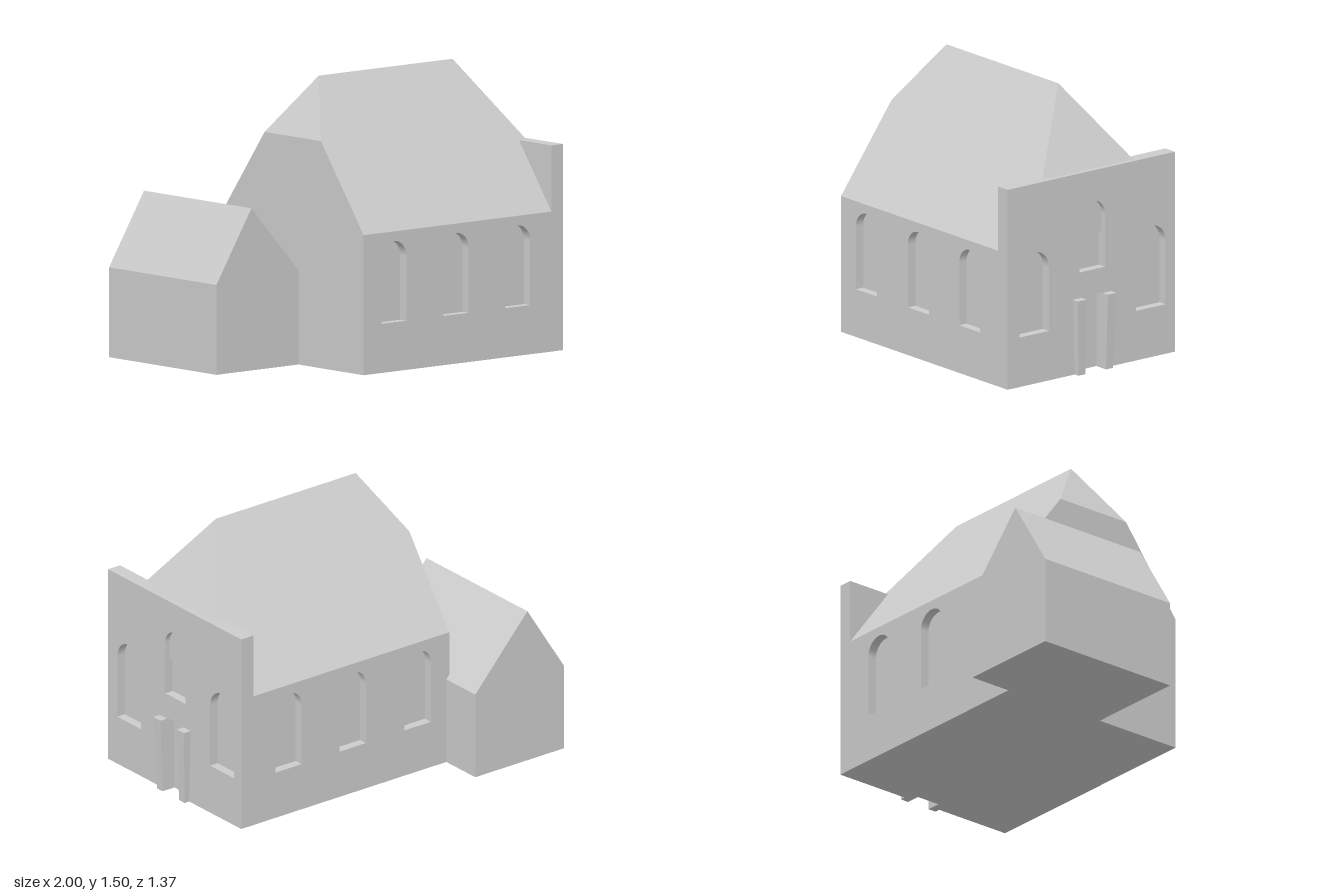
import * as THREE from 'three';
import { ConvexGeometry } from 'three/addons/geometries/ConvexGeometry.js';

const RECESS = 0.05;   // depth of window and door niches
const MID = 0.12;      // z of the nave ridge
const HALF = 0.563;    // half width of the nave
const EAVE = 0.74, RIDGE = 1.505;

export function createModel() {
  const model = new THREE.Group();
  const stone = new THREE.MeshStandardMaterial({ color: 0xcccccc });
  stone.name = 'palestone';

  function add(name, geometry, x = 0, y = 0, z = 0) {
    const mesh = new THREE.Mesh(geometry, stone);
    mesh.name = name;
    mesh.position.set(x, y, z);
    model.add(mesh);
    return mesh;
  }

  // box given by its limits
  function block(name, x0, x1, y0, y1, z0, z1) {
    add(name, new THREE.BoxGeometry(x1 - x0, y1 - y0, z1 - z0),
      (x0 + x1) / 2, (y0 + y1) / 2, (z0 + z1) / 2);
  }

  // round-headed window outline
  function arch(cx, width, y0, y1) {
    const r = width / 2, p = new THREE.Path();
    p.moveTo(cx - r, y0);
    p.lineTo(cx + r, y0);
    p.lineTo(cx + r, y1 - r);
    p.absarc(cx, y1 - r, r, 0, Math.PI, false);
    p.closePath();
    return p;
  }

  const polygon = (pts) => new THREE.Shape(pts.map(([x, y]) => new THREE.Vector2(x, y)));
  const extrude = (shape, depth) =>
    new THREE.ExtrudeGeometry(shape, { depth, bevelEnabled: false, curveSegments: 16 });

  // nave: solid core with pierced side walls
  const zBack = -0.443, zFront = 0.683;
  block('naveCore', -0.43, 0.88, 0, EAVE, zBack + RECESS, zFront - RECESS);
  for (const [name, z] of [['frontWall', zFront - RECESS], ['backWall', zBack]]) {
    const wall = polygon([[-0.43, 0], [0.88, 0], [0.88, EAVE], [-0.43, EAVE]]);
    for (const cx of [-0.22, 0.213, 0.64]) wall.holes.push(arch(cx, 0.174, 0.26, 0.69));
    add(name, extrude(wall, RECESS), 0, 0, z);
  }

  // roof with clipped gables at both ends
  const roofPoints = [];
  for (const [x, y] of [[-0.43, EAVE], [-0.43, 1.2], [-0.25, RIDGE], [0.68, RIDGE], [0.925, 1.09], [0.925, EAVE]]) {
    const half = HALF * (RIDGE - y) / (RIDGE - EAVE);
    for (const s of half > 0 ? [-1, 1] : [0]) roofPoints.push(new THREE.Vector3(x, y, MID + s * half));
  }
  add('naveRoof', new ConvexGeometry(roofPoints));

  // entrance facade: backing slab and pierced face with a door notch
  const faceX = 0.955, top = 1.09;
  block('facadeCore', 0.875, faceX - RECESS, 0, top, zBack, zFront);
  const facade = polygon([
    [-zFront, 0], [-0.185, 0], [-0.185, 0.415], [-0.045, 0.415], [-0.045, 0],
    [-zBack, 0], [-zBack, top], [-zFront, top],
  ]);
  facade.holes.push(arch(-0.505, 0.2, 0.27, 0.717), arch(0.28, 0.2, 0.27, 0.717), arch(-0.114, 0.172, 0.55, 0.925));
  add('facade', extrude(facade, RECESS).rotateY(Math.PI / 2), faceX - RECESS);

  // door piers, wider and deeper towards the top
  for (const [name, s] of [['leftDoorPier', -1], ['rightDoorPier', 1]]) {
    const pier = new THREE.BoxGeometry(1, 1, 1);
    const p = pier.attributes.position;
    for (let i = 0; i < p.count; i++) {
      const high = p.getY(i) > 0;
      const outer = s * p.getZ(i) > 0;
      const x = p.getX(i) > 0 ? (high ? 1 : 0.985) : faceX - 0.02;
      const offset = outer ? (high ? 0.13 : 0.117) : 0.07;
      p.setXYZ(i, x, high ? 0.41 : 0, 0.115 + s * offset);
    }
    pier.computeVertexNormals();
    add(name, pier);
  }

  // gabled side wing
  const gable = polygon([[-1, 0], [-0.41, 0], [-0.41, 0.475], [-0.757, 0.857], [-1, 0.475]]);
  add('sideWing', extrude(gable, 0.853), 0, 0, -0.688);

  return model;
}
